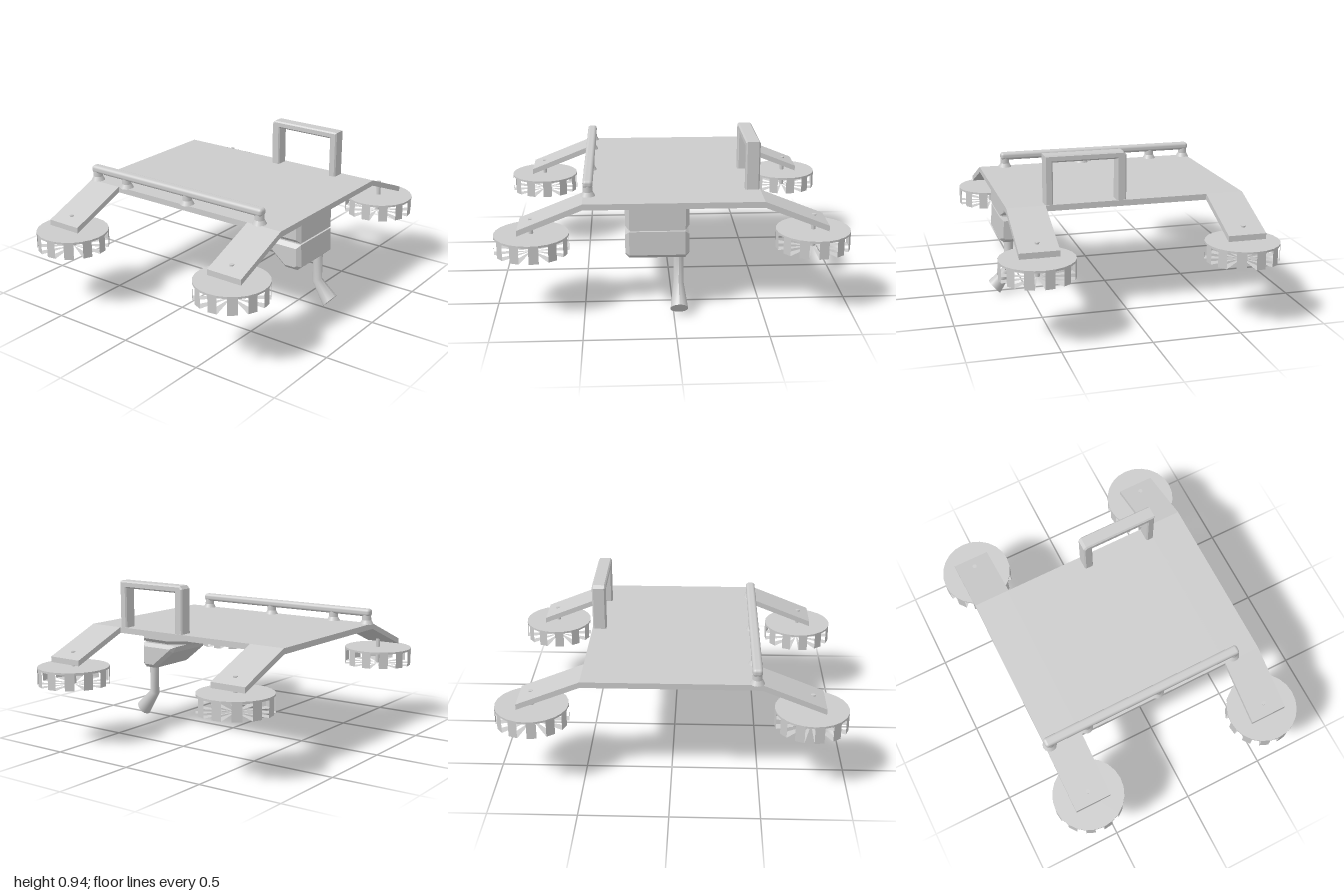
import * as THREE from 'three';
import { RoundedBoxGeometry } from 'three/addons/geometries/RoundedBoxGeometry.js';

const smooth = new THREE.MeshStandardMaterial({ color: 0xcccccc });
const flat = new THREE.MeshStandardMaterial({ color: 0xcccccc, flatShading: true, side: THREE.DoubleSide });

const add = (parent, name, geometry, material = flat, x = 0, y = 0, z = 0) => {
  const mesh = new THREE.Mesh(geometry, material);
  mesh.name = name;
  mesh.position.set(x, y, z);
  parent.add(mesh);
  return mesh;
};

const toShape = (points) => new THREE.Shape(points.map(([a, b]) => new THREE.Vector2(a, b)));

// Side profile of [z, y] points, swept along x from x0 to x1, with chamfered edges
function sideExtrude(points, x0, x1, bevel) {
  const depth = x1 - x0 - 2 * bevel;
  const geo = new THREE.ExtrudeGeometry(toShape(points), {
    depth, bevelEnabled: bevel > 0, bevelThickness: bevel, bevelSize: bevel, bevelOffset: -bevel, bevelSegments: 1,
  });
  return geo.translate(0, 0, -depth / 2).rotateY(-Math.PI / 2).translate((x0 + x1) / 2, 0, 0);
}

// Caged rotor: top disc with spaced sectors, each a rim tab and a bottom wedge
function createRotor() {
  const rotor = new THREE.Group();
  const r = 0.21, count = 12, step = (Math.PI * 2) / count;
  add(rotor, 'rotorDisc', new THREE.CylinderGeometry(r, r, 0.012, 24), flat, 0, 0.454, 0);
  for (let i = 0; i < count; i++) {
    add(rotor, 'rotorBlade',
      new THREE.CylinderGeometry(r, r, 0.102, 1, 1, false, i * step, step / 2), flat, 0, 0.406, 0);
  }
  add(rotor, 'rotorShaft', new THREE.CylinderGeometry(0.013, 0.013, 0.19, 10), smooth, 0, 0.453, 0);
  return rotor;
}

// Bent barrel: rings of [y, z, tilt, radius] from the mount to the flared muzzle
function createBarrelGeometry() {
  const rings = [
    [0.36, 0.605, 0, 0.028],
    [0.155, 0.605, -0.38, 0.03],
    [0.04, 0.697, -0.84, 0.05],
  ];
  const geo = new THREE.CylinderGeometry(1, 1, 1, 18, rings.length - 1);
  const pos = geo.attributes.position;
  for (let i = 0; i < pos.count; i++) {
    const [y, z, tilt, r] = rings[Math.round((0.5 - pos.getY(i)) * (rings.length - 1))];
    const across = pos.getZ(i) * r;
    pos.setXYZ(i, pos.getX(i) * r, y - Math.sin(tilt) * across, z + Math.cos(tilt) * across);
  }
  geo.computeVertexNormals();
  return geo;
}

export function createModel() {
  const model = new THREE.Group();
  model.name = 'hoverPlatform';

  // Flat deck between the two arm strips
  add(model, 'deck', new THREE.BoxGeometry(1, 0.034, 0.96), flat, 0, 0.643, 0);

  // Front and rear strips whose ends droop into arms
  const armProfile = [
    [-0.86, 0.515], [-0.86, 0.482], [-0.5, 0.626], [0.5, 0.626],
    [0.86, 0.482], [0.86, 0.515], [0.5, 0.66], [-0.5, 0.66],
  ];
  for (const z of [0.47, -0.69]) {
    add(model, z > 0 ? 'frontArms' : 'rearArms',
      new THREE.ExtrudeGeometry(toShape(armProfile), { depth: 0.22, bevelEnabled: false }), flat, 0, 0, z);
  }

  // Four rotors under the arm ends
  for (const x of [-0.79, 0.79]) {
    for (const z of [-0.58, 0.58]) {
      const rotor = createRotor();
      rotor.name = (z > 0 ? 'front' : 'rear') + (x > 0 ? 'Left' : 'Right') + 'Rotor';
      rotor.position.set(x, 0, z);
      model.add(rotor);
    }
  }

  // Long low rail on flared posts
  const rail = new THREE.Group();
  rail.name = 'sideRail';
  rail.position.x = -0.472;
  model.add(rail);
  add(rail, 'railBar', new RoundedBoxGeometry(0.056, 0.046, 1.25, 3, 0.018), smooth, 0, 0.729, -0.066);
  for (const z of [0.532, 0.03, -0.43, -0.662]) {
    add(rail, 'railPost', new THREE.CylinderGeometry(0.026, 0.03, 0.07, 14), smooth, 0, 0.69, z);
    add(rail, 'railPostFoot', new THREE.CylinderGeometry(0.027, 0.042, 0.028, 14), smooth, 0, 0.672, z);
  }

  // Upright handle loop
  const handle = [
    [0.005, 0.64], [0.06, 0.64], [0.06, 0.897], [0.425, 0.897], [0.425, 0.64],
    [0.472, 0.64], [0.472, 0.938], [0.022, 0.938], [0.005, 0.92],
  ];
  add(model, 'handle', sideExtrude(handle, 0.415, 0.496, 0.008));

  // Underslung pods: a long upper one and a wedge-shaped lower one
  const upperPod = [
    [0.66, 0.495], [0.45, 0.492], [0.265, 0.51], [0.228, 0.54],
    [0.228, 0.59], [0.26, 0.622], [0.45, 0.632], [0.66, 0.632],
  ];
  const lowerPod = [
    [0.64, 0.327], [0.56, 0.327], [0.42, 0.44], [0.395, 0.48], [0.43, 0.485], [0.66, 0.485], [0.665, 0.35],
  ];
  add(model, 'upperPod', sideExtrude(upperPod, -0.268, 0.088, 0.022));
  add(model, 'lowerPod', sideExtrude(lowerPod, -0.268, 0.088, 0.022));
  add(model, 'podNeck', new THREE.BoxGeometry(0.3, 0.06, 0.17), flat, -0.09, 0.49, 0.56);

  // Nozzle hanging from the lower pod
  add(model, 'barrel', createBarrelGeometry(), smooth, 0.03, 0, 0);

  return model;
}
